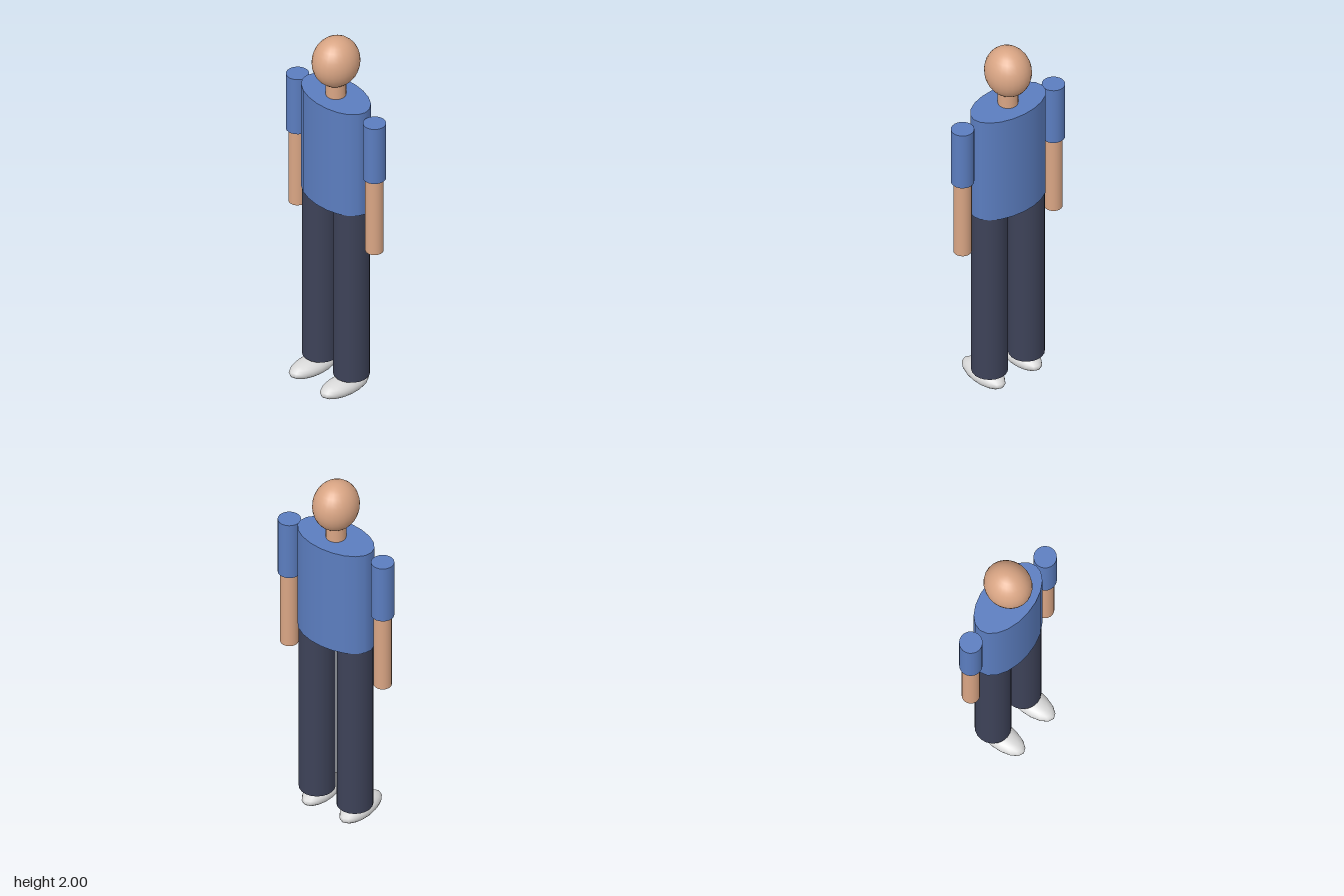
import * as THREE from 'three';

const material = (name, color) => {
  const m = new THREE.MeshStandardMaterial({ color });
  m.name = name;
  return m;
};

export function createModel() {
  const model = new THREE.Group();
  model.name = 'figure';
  const skin = material('skin', 0xd9a584);
  const shirt = material('shirtBlue', 0x5b7dbf);
  const trousers = material('trouserNavy', 0x3d4258);
  const shoe = material('shoeGrey', 0xd8d8d8);
  const bodyZ = -0.035;

  const add = (name, geometry, mat, x, y, z) => {
    const mesh = new THREE.Mesh(geometry, mat);
    mesh.name = name;
    mesh.position.set(x, y, z);
    model.add(mesh);
  };
  // Upright capped cylinder between two heights, optionally oval
  const column = (name, mat, x, y0, y1, rx, rz = rx) =>
    add(name, new THREE.CylinderGeometry(1, 1, y1 - y0, 20).scale(rx, 1, rz),
      mat, x, (y0 + y1) / 2, bodyZ);
  const ellipsoid = (name, mat, x, y, z, rx, ry, rz, w, h) =>
    add(name, new THREE.SphereGeometry(1, w, h).scale(rx, ry, rz), mat, x, y, z);

  // Head, neck and oval torso
  ellipsoid('head', skin, 0, 1.867, bodyZ, 0.112, 0.133, 0.124, 24, 16);
  column('neck', skin, 0, 1.67, 1.76, 0.05);
  column('torso', shirt, 0, 1.08, 1.675, 0.216, 0.124);

  // Limbs, mirrored
  for (const [side, s] of [['left', 1], ['right', -1]]) {
    column(side + 'Sleeve', shirt, s * 0.285, 1.33, 1.65, 0.057);
    column(side + 'Forearm', skin, s * 0.285, 0.905, 1.33, 0.045);
    column(side + 'Leg', trousers, s * 0.115, 0.1, 1.08, 0.09);
    ellipsoid(side + 'Shoe', shoe, s * 0.115, 0.05, 0.011, 0.068, 0.047, 0.147, 16, 12);
  }
  return model;
}
